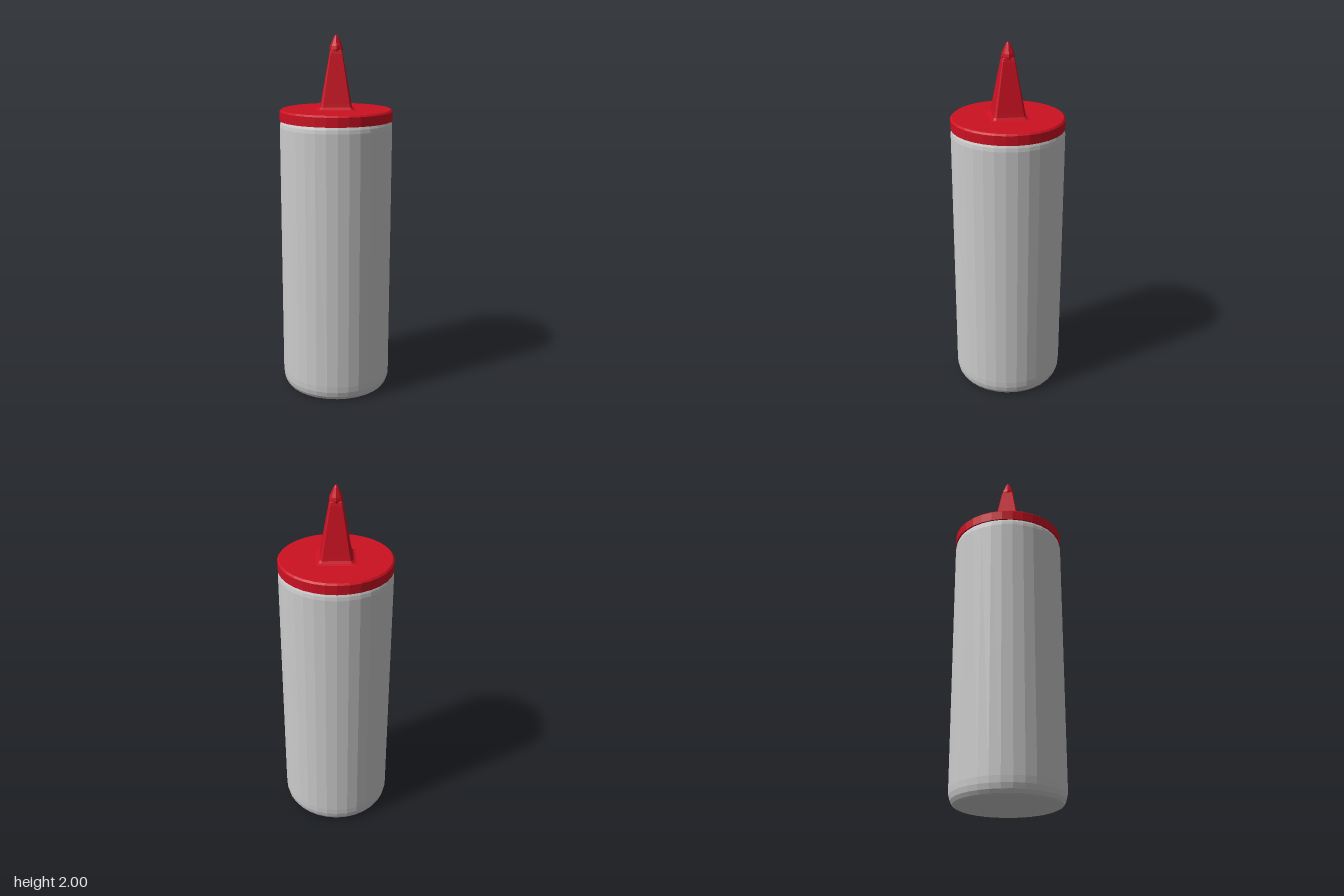
import * as THREE from 'three';

const RED = 0xcc1122;
const SIDES = 32;

// Revolves [radius, height] pairs, listed from bottom to top
function lathe(name, profile, sides, color) {
  const points = profile.map(([r, y]) => new THREE.Vector2(r, y));
  const material = new THREE.MeshStandardMaterial({ color, flatShading: true });
  const mesh = new THREE.Mesh(new THREE.LatheGeometry(points, sides), material);
  mesh.name = name;
  return mesh;
}

// Turns an 8-sided lathe into a diamond section with narrow bevelled corners on the axes
function squeezeToDiamond(geometry, rows, bevel) {
  const pos = geometry.attributes.position;
  for (let i = 0; i < pos.count; i++) {
    const column = Math.floor(i / rows);
    const r = Math.hypot(pos.getX(i), pos.getZ(i));
    const angle = Math.floor(column / 2) * Math.PI / 2 + (column % 2 ? bevel : -bevel);
    pos.setX(i, r * Math.sin(angle));
    pos.setZ(i, r * Math.cos(angle));
  }
}

export function createModel() {
  const model = new THREE.Group();
  model.name = 'squeezeBottle';

  // Bottle body with rounded base and a soft shoulder
  model.add(lathe('body', [
    [0, 0], [0.272, 0], [0.288, 0.008], [0.3, 0.027], [0.307, 0.055],
    [0.309, 0.09], [0.309, 1.51], [0.306, 1.53], [0.298, 1.55], [0, 1.55],
  ], SIDES, 0xcccccc));

  // Flat lid with a small bevel
  model.add(lathe('lid', [
    [0, 1.545], [0.309, 1.545], [0.309, 1.596], [0.3, 1.605], [0, 1.605],
  ], SIDES, RED));

  // Four-sided tapering spout, flared where it meets the lid
  const spoutProfile = [
    [0.142, 1.604], [0.122, 1.61], [0.112, 1.622], [0.107, 1.64],
    [0.047, 1.9], [0.041, 1.918], [0.03, 1.928], [0, 1.928],
  ];
  const spout = lathe('spout', spoutProfile, 8, RED);
  squeezeToDiamond(spout.geometry, spoutProfile.length, 0.07);
  model.add(spout);

  // Faceted closing tip
  model.add(lathe('tip', [
    [0.03, 1.9], [0.036, 1.925], [0.033, 1.942], [0.012, 1.99], [0.005, 1.999], [0, 2],
  ], 8, RED));

  return model;
}
